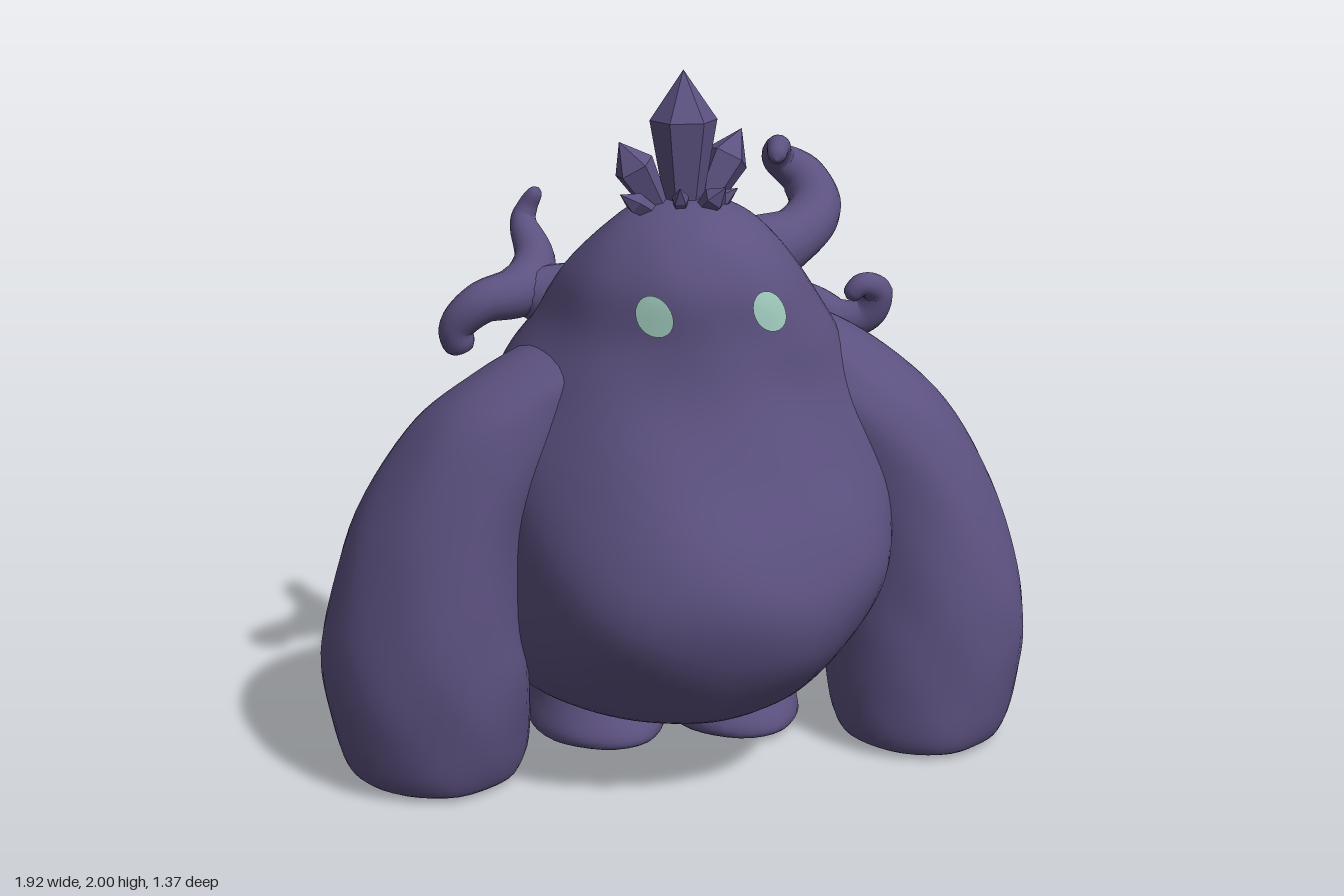
import * as THREE from 'three';

const hide = new THREE.MeshStandardMaterial({ color: 0x5c5180 });
hide.name = 'purple hide';
const glow = new THREE.MeshStandardMaterial({ color: 0xa0cabd });
glow.name = 'pale green eye';

// Closed smooth surface from a point function: rows along the part, columns around it
function skin(pointAt, rows, cols) {
  const pos = [], index = [];
  for (let i = 0; i <= rows; i++) {
    for (let j = 0; j < cols; j++) {
      pos.push(...pointAt(i / rows, (j / cols) * Math.PI * 2).toArray());
      if (i === rows) continue;
      const a = i * cols + j, b = i * cols + ((j + 1) % cols);
      index.push(a, b, b + cols, a, b + cols, a + cols);
    }
  }
  const g = new THREE.BufferGeometry();
  g.setAttribute('position', new THREE.Float32BufferAttribute(pos, 3));
  g.setIndex(index);
  g.computeVertexNormals();
  return g;
}

// Surface through elliptical sections [y, cx, cz, rx, rz], with soft lumps
// and local bulges [angle, y, size, angular width, height]
function sections(rings, lump, bulges = []) {
  const centre = new THREE.CatmullRomCurve3(rings.map(([y, x, z]) => new THREE.Vector3(x, y, z)), false, 'catmullrom', 0.5);
  const radius = new THREE.CatmullRomCurve3(rings.map(([, , , rx, rz]) => new THREE.Vector3(rx, 0, rz)), false, 'catmullrom', 0.5);
  return (t, a, grow = 0) => {
    const p = centre.getPoint(t), r = radius.getPoint(t);
    const s = Math.sin(a), c = Math.cos(a);
    let k = 1 + lump * (Math.sin(3 * a + 9 * t + p.x * 4) + 0.7 * Math.sin(5 * a - 17 * t) + 0.5 * Math.sin(8 * a + 26 * t));
    for (const [angle, y, size, width, height] of bulges) {
      const turn = Math.atan2(Math.sin(a - angle), Math.cos(a - angle));
      k += size * Math.exp(-((turn / width) ** 2) - ((p.y - y) / height) ** 2);
    }
    p.x += (Math.max(r.x, 0) * k + grow) * s;
    p.z += (Math.max(r.z, 0) * k + grow) * c;
    p.y = Math.max(p.y, 0.003);
    return p;
  };
}

// Curled horn: tapering round section along a path of [x, y, z, radius]
function horn(points) {
  const path = new THREE.CatmullRomCurve3(points.map(([x, y, z]) => new THREE.Vector3(x, y, z)), false, 'catmullrom', 0.5);
  const rows = 48, frames = [];
  // frames are carried along the path so the section does not twist
  let normal = new THREE.Vector3(0.3, 0.2, 1);
  for (let i = 0; i <= rows; i++) {
    const t = path.getTangent(i / rows);
    normal = normal.clone().addScaledVector(t, -normal.dot(t)).normalize();
    frames.push([normal, t.clone().cross(normal)]);
  }
  return skin((t, a) => {
    const [n, b] = frames[Math.round(t * rows)];
    const u = t * (points.length - 1), k = Math.min(Math.floor(u), points.length - 2);
    let r = THREE.MathUtils.lerp(points[k][3], points[k + 1][3], u - k);
    const end = Math.min(t, 1 - t) * rows / 3;
    if (end < 1) r *= Math.sqrt(1 - (1 - end) ** 2);
    return path.getPoint(t).addScaledVector(n, r * Math.cos(a)).addScaledVector(b, r * Math.sin(a));
  }, rows, 16);
}

// Faceted crystal from its base to its tip
function crystal(base, tip, r, sides) {
  const from = new THREE.Vector3(...base), dir = new THREE.Vector3(...tip).sub(from);
  const h = dir.length();
  const profile = [[0, 0], [0.5 * r, 0], [r, 0.66 * h], [0, h]].map(([x, y]) => new THREE.Vector2(x, y));
  const g = new THREE.LatheGeometry(profile, sides).toNonIndexed();
  g.computeVertexNormals();
  g.applyQuaternion(new THREE.Quaternion().setFromUnitVectors(new THREE.Vector3(0, 1, 0), dir.normalize()));
  return g.translate(...base);
}

export function createModel() {
  const model = new THREE.Group();
  model.name = 'hornedGiant';
  const add = (name, geometry, material = hide) => {
    const m = new THREE.Mesh(geometry, material);
    m.name = name;
    model.add(m);
  };

  // Belly, chest and head in one mass
  const bodyRings = [
    [0.16, -0.03, 0.02, 0, 0],
    [0.18, -0.03, 0.01, 0.22, 0.26],
    [0.24, -0.03, 0, 0.38, 0.44],
    [0.34, -0.01, 0, 0.48, 0.55],
    [0.47, 0.01, 0, 0.55, 0.64],
    [0.62, 0.03, 0, 0.585, 0.68],
    [0.78, 0.04, 0, 0.585, 0.645],
    [0.97, 0.05, -0.03, 0.56, 0.58],
    [1.15, 0.04, -0.03, 0.48, 0.5],
    [1.3, 0.03, 0.02, 0.395, 0.42],
    [1.45, 0, 0.08, 0.32, 0.335],
    [1.56, -0.01, 0.11, 0.23, 0.24],
    [1.63, -0.01, 0.11, 0.13, 0.14],
    [1.66, -0.01, 0.11, 0, 0],
  ];
  const body = sections(bodyRings, 0.011, [
    [2.25, 0.8, 0.17, 0.5, 0.32],   // hump behind the left arm
    [-0.85, 0.6, 0.05, 0.45, 0.25], // belly side
    [2.9, 1.06, -0.05, 0.5, 0.06],  // fold under the back horn
    [0.95, 1.25, 0.06, 0.5, 0.15],  // slope into the left shoulder
  ]);
  add('body', skin(body, 78, 64));

  // Eyes: thin round patches that follow the face; lean keeps the side one upright
  const eyeLevel = 9 + (1.39 - 1.3) / 0.15;
  for (const [name, angle, lean] of [['leftEye', 0.03, 0], ['rightEye', -0.87, -0.9]]) {
    const g = new THREE.RingGeometry(0, 0.052, 24, 3);
    const p = g.attributes.position;
    for (let i = 0; i < p.count; i++) {
      const t = (eyeLevel + p.getY(i) / 0.14) / (bodyRings.length - 1);
      p.setXYZ(i, ...body(t, angle + p.getX(i) / 0.37 + p.getY(i) * lean, 0.008).toArray());
    }
    g.computeVertexNormals();
    add(name, g, glow);
  }

  // Heavy arms resting on the ground
  add('leftArm', skin(sections([
    [0.005, 0.64, 0.4, 0, 0],
    [0.008, 0.64, 0.4, 0.18, 0.19],
    [0.05, 0.645, 0.395, 0.25, 0.255],
    [0.2, 0.66, 0.38, 0.28, 0.29],
    [0.35, 0.67, 0.37, 0.285, 0.305],
    [0.52, 0.665, 0.36, 0.27, 0.295],
    [0.77, 0.625, 0.32, 0.255, 0.265],
    [1.0, 0.52, 0.26, 0.25, 0.235],
    [1.15, 0.4, 0.19, 0.235, 0.2],
    [1.28, 0.24, 0.13, 0.19, 0.16],
    [1.36, 0.14, 0.1, 0, 0],
  ], 0.013), 50, 40));
  add('rightArm', skin(sections([
    [0.005, -0.66, -0.22, 0, 0],
    [0.008, -0.66, -0.22, 0.18, 0.21],
    [0.05, -0.665, -0.22, 0.25, 0.265],
    [0.2, -0.675, -0.22, 0.28, 0.3],
    [0.35, -0.68, -0.22, 0.285, 0.315],
    [0.52, -0.675, -0.21, 0.265, 0.3],
    [0.77, -0.62, -0.19, 0.25, 0.27],
    [1.0, -0.5, -0.14, 0.245, 0.24],
    [1.13, -0.39, -0.09, 0.23, 0.2],
    [1.24, -0.23, -0.04, 0.17, 0.16],
    [1.3, -0.14, -0.02, 0, 0],
  ], 0.013), 50, 40));

  // Stubby feet, flared at the ground and leaning back into the belly
  for (const [name, x, z] of [['leftFoot', 0.24, 0.0], ['rightFoot', -0.13, -0.17]]) {
    add(name, skin(sections([
      [0.012, x, z, 0, 0],
      [0.014, x, z, 0.15, 0.18],
      [0.05, x, z, 0.195, 0.225],
      [0.15, x + 0.01, z - 0.03, 0.18, 0.21],
      [0.28, x + 0.02, z - 0.09, 0.175, 0.21],
      [0.42, x + 0.02, z - 0.12, 0.15, 0.17],
      [0.45, x + 0.02, z - 0.12, 0, 0],
    ], 0.01), 30, 32));
  }

  // Curled horns on the shoulders and back
  add('leftUpperHorn', horn([
    [0.12, 1.34, -0.04, 0.18], [0.34, 1.38, -0.1, 0.125], [0.56, 1.42, -0.12, 0.085],
    [0.69, 1.48, -0.18, 0.08], [0.7, 1.56, -0.25, 0.07], [0.63, 1.62, -0.28, 0.05],
    [0.58, 1.67, -0.22, 0.035], [0.53, 1.64, -0.17, 0.025],
  ]));
  add('leftLowerHorn', horn([
    [0.36, 1.24, -0.16, 0.14], [0.56, 1.21, -0.08, 0.08], [0.64, 1.18, 0, 0.06],
    [0.7, 1.2, 0.06, 0.05], [0.71, 1.27, 0.09, 0.045], [0.65, 1.3, 0.09, 0.035],
    [0.61, 1.26, 0.07, 0.025],
  ]));
  add('rightHorn', horn([
    [-0.46, 1.18, -0.34, 0.045], [-0.48, 1.26, -0.34, 0.05], [-0.42, 1.33, -0.3, 0.06],
    [-0.3, 1.35, -0.29, 0.075], [-0.2, 1.41, -0.36, 0.06], [-0.17, 1.49, -0.46, 0.04],
    [-0.15, 1.54, -0.47, 0.03], [-0.13, 1.6, -0.44, 0.02],
  ]));
  add('rightHornRoot', horn([
    [-0.06, 1.26, -0.08, 0.17], [-0.17, 1.31, -0.22, 0.12], [-0.3, 1.35, -0.3, 0.06],
  ]));
  add('backHorn', horn([
    [0.14, 1.06, -0.26, 0.24], [0.27, 1.18, -0.41, 0.16], [0.37, 1.27, -0.53, 0.14],
    [0.45, 1.35, -0.555, 0.135], [0.51, 1.4, -0.52, 0.1], [0.51, 1.42, -0.45, 0.06],
    [0.46, 1.38, -0.41, 0.025],
  ]));

  // Crown: one tall crystal, two medium ones and a ring of shards
  add('crownCrystal', crystal([-0.02, 1.6, 0.11], [-0.015, 2.0, 0.1], 0.093, 6));
  const shards = [
    [0.18, 1.82, 0.11, 0.065], [-0.18, 1.81, 0.03, 0.06], [-0.22, 1.68, 0.09, 0.03],
    [-0.1, 1.7, 0.2, 0.025], [0.01, 1.7, 0.26, 0.035], [0.09, 1.68, 0.21, 0.025],
    [0.04, 1.78, -0.01, 0.035], [-0.08, 1.72, 0.0, 0.03], [0.1, 1.68, 0.01, 0.025],
  ];
  shards.forEach(([x, y, z, r], i) =>
    add(`crownShard${i + 1}`, crystal([x * 0.3 - 0.02, 1.6, 0.11 + (z - 0.11) * 0.3], [x, y, z], r, 5)));

  return model;
}
